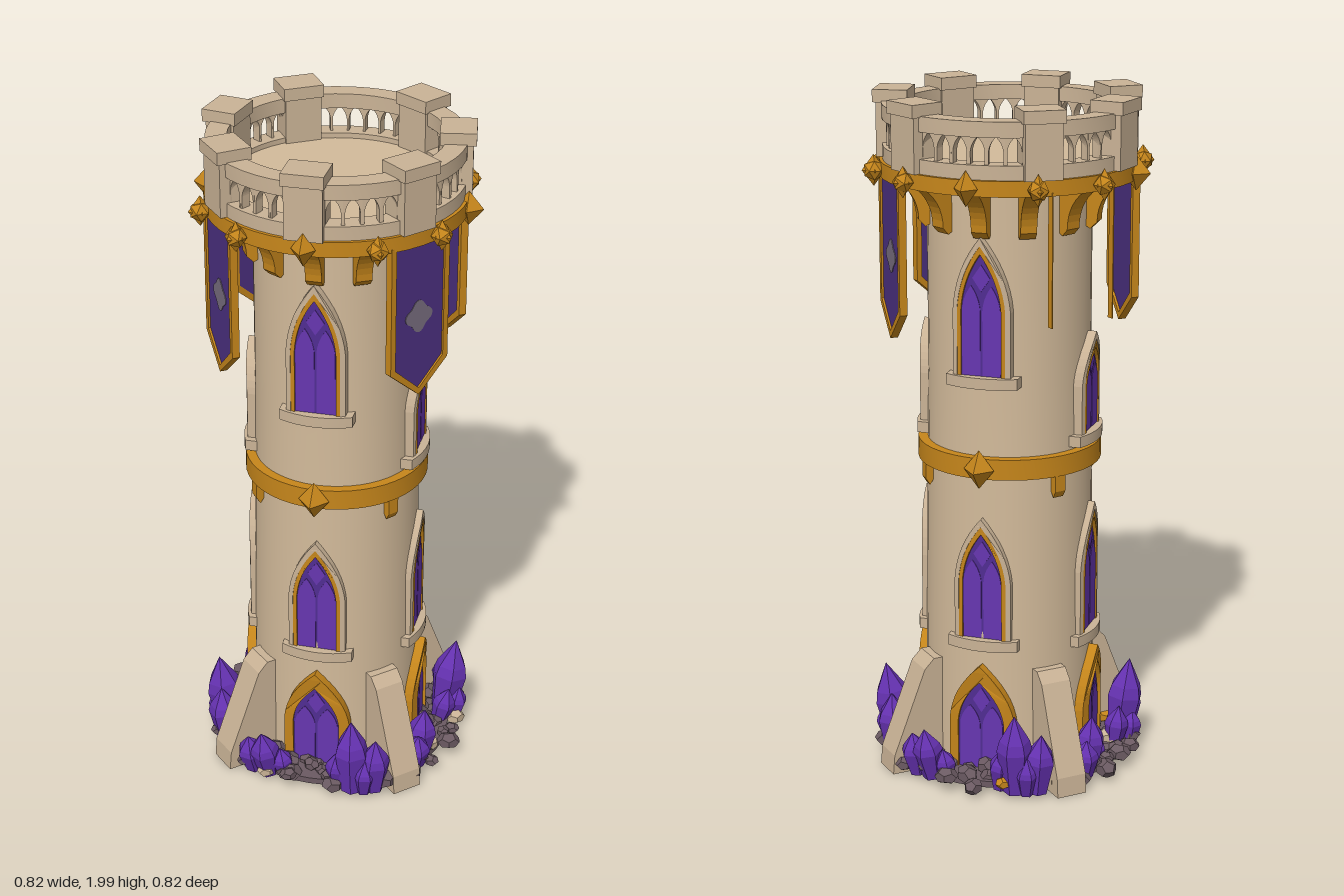
import * as THREE from 'three';
import { toCreasedNormals } from 'three/addons/utils/BufferGeometryUtils.js';

const mat = (name, color, side = THREE.FrontSide) => new THREE.MeshStandardMaterial({ name, color, side });
const V = (x, y) => new THREE.Vector2(x, y);

export function createModel() {
  const stone = mat('stone', 0xd2ba9a, THREE.DoubleSide);
  const trim = mat('stoneTrim', 0xcab396);
  const gold = mat('gold', 0xc6861b);
  const violet = mat('violetGlass', 0x6636b0);
  const deep = mat('deepViolet', 0x502d92);
  const crystalMat = mat('crystal', 0x6632b2);
  const cloth = mat('bannerCloth', 0x4b3080);
  const grey = mat('emblemGrey', 0x786d7e);
  const rockMat = mat('rock', 0x6b5a62);

  const tower = new THREE.Group();
  tower.name = 'tower';
  let seed = 7;
  const rnd = () => (seed = (seed * 16807) % 2147483647) / 2147483647;

  const add = (parent, name, geo, material, x = 0, y = 0, z = 0) => {
    const m = new THREE.Mesh(geo, material);
    m.name = name;
    m.position.set(x, y, z);
    parent.add(m);
    return m;
  };
  // Group turned so that its local +z points outward at the given angle
  const spoke = (name, deg) => {
    const g = new THREE.Group();
    g.name = name;
    g.rotation.y = THREE.MathUtils.degToRad(deg);
    tower.add(g);
    return g;
  };
  const lathe = (pts, n = 48) => toCreasedNormals(new THREE.LatheGeometry(pts.map(p => V(...p)), n), 0.6);
  const ring = (r0, r1, y0, y1) => lathe([[r0, y0], [r1, y0], [r1, y1], [r0, y1], [r0, y0]]);
  const extrude = (shape, depth) => new THREE.ExtrudeGeometry(shape, { depth, bevelEnabled: false, curveSegments: 8 });
  // Curve a flat part around the shaft
  const bend = geo => {
    const p = geo.attributes.position;
    for (let i = 0; i < p.count; i++) p.setZ(i, p.getZ(i) + Math.sqrt(0.0576 - p.getX(i) ** 2) - 0.24);
    geo.computeVertexNormals();
    return geo;
  };
  // Side profile (radius, height) given a width and set along local z
  const fin = (parent, name, shape, width, material) => {
    const m = add(parent, name, extrude(shape, width).translate(0, 0, -width / 2), material);
    m.rotation.y = -Math.PI / 2;
  };
  // Pointed arch outline
  const arch = (w, y0, ys, yt, T = THREE.Shape, cx = 0) => {
    const s = new T();
    const k = ys + (yt - ys) * 0.55;
    s.moveTo(cx - w, y0);
    s.lineTo(cx + w, y0);
    s.lineTo(cx + w, ys);
    s.quadraticCurveTo(cx + w * 0.9, k, cx, yt);
    s.quadraticCurveTo(cx - w * 0.9, k, cx - w, ys);
    s.closePath();
    return s;
  };
  const archFrame = (w, y0, ys, yt, t, depth) => {
    const s = arch(w, y0, ys, yt);
    s.holes.push(arch(w - t, y0 + 0.005, ys, yt - t * 1.7, THREE.Path));
    return bend(extrude(s, depth));
  };
  // Lancet glazing: dark plate, two lights and a diamond
  const glazing = (g, w, y0, ys, yt, z) => {
    add(g, 'windowBack', extrude(arch(w, y0, ys, yt), 0.009), deep, 0, 0, z);
    for (const s of [-1, 1])
      add(g, 'windowLight', extrude(arch(w * 0.43, y0 + 0.01, ys, ys + (yt - ys) * 0.42, THREE.Shape, s * w * 0.48), 0.004), violet, 0, 0, z + 0.007);
    const d = new THREE.Shape([V(0, -0.038), V(0.026, 0), V(0, 0.038), V(-0.026, 0)]);
    add(g, 'windowDiamond', extrude(d, 0.004), violet, 0, ys + (yt - ys) * 0.55, z + 0.007);
  };

  // Shaft and platform
  add(tower, 'shaft', lathe([[0.25, 0.015], [0.247, 0.4], [0.24, 0.9], [0.235, 1.2], [0.235, 1.77]]), stone);
  add(tower, 'platformFloor', new THREE.CylinderGeometry(0.31, 0.31, 0.02, 48), stone, 0, 1.825, 0);
  add(tower, 'upperGoldRing', ring(0.22, 0.368, 1.766, 1.81), gold);
  add(tower, 'middleGoldRing', ring(0.23, 0.266, 0.937, 0.997), gold);

  // Gold ornaments and brackets beneath the platform
  for (let i = 0; i < 12; i++) {
    const g = spoke('bracketUnit', i * 30);
    const b = new THREE.Shape();
    b.moveTo(0.22, 1.64);
    b.lineTo(0.245, 1.625);
    b.lineTo(0.265, 1.645);
    b.quadraticCurveTo(0.265, 1.73, 0.355, 1.775);
    b.lineTo(0.22, 1.775);
    fin(g, 'bracket', b, 0.046, gold);
    if (i % 3 === 0) add(g, 'ringDiamond', new THREE.OctahedronGeometry(1).scale(0.034, 0.05, 0.042), gold, 0, 1.787, 0.37);
    else {
      add(g, 'ringKnob', new THREE.IcosahedronGeometry(0.031), gold, 0, 1.787, 0.387);
      add(g, 'ringKnobPoint', new THREE.OctahedronGeometry(1).scale(0.028, 0.045, 0.034), gold, 0, 1.787, 0.387);
    }
  }
  for (const a of [0, 180])
    add(spoke('middleOrnament', a), 'middleDiamond', new THREE.OctahedronGeometry(1).scale(0.045, 0.057, 0.05), gold, 0, 0.967, 0.272);

  // Parapet: rails, arcade and merlons, with the widest bay at the back
  add(tower, 'lowerRail', ring(0.3, 0.358, 1.808, 1.85), trim);
  add(tower, 'upperRail', ring(0.3, 0.36, 1.925, 1.968), trim);
  const panel = new THREE.Shape([V(-0.0255, 1.84), V(0.0255, 1.84), V(0.0255, 1.93), V(-0.0255, 1.93)]);
  panel.holes.push(arch(0.02, 1.848, 1.885, 1.925, THREE.Path));
  const panelGeo = extrude(panel, 0.028);
  const merlonAngles = [0, 50, 100, 147, 213, 260, 310, 360];
  for (let i = 0; i < 7; i++) {
    const a = merlonAngles[i], gap = merlonAngles[i + 1] - a;
    const m = spoke('merlonUnit', a);
    add(m, 'merlon', new THREE.BoxGeometry(0.106, 0.165, 0.085), trim, 0, 1.892, 0.33);
    add(m, 'merlonCap', new THREE.BoxGeometry(0.118, 0.036, 0.1), trim, 0, 1.982, 0.331);
    const bays = Math.round((gap - 16) / 8.5);
    for (let j = 0; j < bays; j++)
      add(spoke('arcadeBay', a + 8 + (j + 0.5) * (gap - 16) / bays), 'arcadeArch', panelGeo, trim, 0, 0, 0.318);
  }

  // Windows and doors on the four faces
  const addWindow = (g, y0, ys, yt) => {
    add(g, 'windowFrame', archFrame(0.085, y0, ys, yt, 0.014, 0.045), trim, 0, 0, 0.216);
    add(g, 'windowGoldTrim', archFrame(0.073, y0, ys, yt - 0.023, 0.014, 0.039), gold, 0, 0, 0.22);
    glazing(g, 0.062, y0, ys, yt - 0.04, 0.237);
    add(g, 'windowSill', bend(new THREE.BoxGeometry(0.21, 0.032, 0.05, 8)), trim, 0, y0 - 0.008, 0.246);
  };
  for (let i = 0; i < 4; i++) {
    const g = spoke('towerFace', i * 90);
    const side = i % 2 === 1;
    if (side) addWindow(g, 1.03, 1.18, 1.325);
    else addWindow(g, 1.225, 1.42, 1.63);
    addWindow(g, side ? 0.42 : 0.44, 0.62, 0.815);
    const w = side ? 0.09 : 0.1;
    add(g, 'doorFrame', archFrame(w, 0.02, 0.19, 0.37, 0.03, 0.055), gold, 0, 0, 0.22);
    glazing(g, w - 0.028, 0.02, 0.18, 0.325, 0.248);
    add(g, 'doorInnerFace', extrude(arch(w - 0.028, 0.02, 0.18, 0.325), 0.009), violet, 0, 0, 0.215);
  }

  // Buttresses and the small gold hangers under the middle ring
  for (let i = 0; i < 4; i++) {
    const g = spoke('diagonal', 45 + i * 90);
    fin(g, 'buttress', new THREE.Shape([V(0.235, 0.012), V(0.405, 0.012), V(0.4, 0.07), V(0.3, 0.325), V(0.27, 0.355), V(0.235, 0.355)]), 0.092, trim);
    fin(spoke('hangerUnit', [52, 128, 232, 308][i]), 'hanger', new THREE.Shape([V(0.23, 0.9), V(0.25, 0.87), V(0.262, 0.89), V(0.262, 0.94), V(0.23, 0.94)]), 0.034, gold);
  }

  // Banners
  const bannerShape = (w, top, low, tip, T = THREE.Shape) => new T([V(-w, top), V(-w, low), V(0, tip), V(w, low), V(w, top)]);
  const foil = new THREE.Shape(Array.from({ length: 40 }, (_, i) => {
    const t = i / 40 * Math.PI * 2, r = 0.042 + 0.006 * Math.cos(4 * t);
    return V(r * Math.cos(t), r * Math.sin(t));
  }));
  const border = bannerShape(0.102, 1.775, 1.4, 1.312);
  border.holes.push(bannerShape(0.085, 1.768, 1.41, 1.333, THREE.Path));
  const field = bannerShape(0.092, 1.77, 1.405, 1.325);
  for (const a of [53, -53, 127]) {
    const g = spoke('banner', a);
    add(g, 'bannerBorder', extrude(border, 0.022), gold, 0, 0, 0.334);
    add(g, 'bannerCloth', extrude(field, 0.009), cloth, 0, 0, 0.341);
    add(g, 'bannerEmblem', extrude(foil, 0.004), grey, 0, 1.55, 0.348);
  }
  // Single sheet facing the shaft, with a rim down each side
  const sheet = spoke('backBanner', -127);
  add(sheet, 'bannerBorder', new THREE.ShapeGeometry(border).rotateY(Math.PI), gold, 0, 0, 0.343);
  add(sheet, 'bannerCloth', new THREE.ShapeGeometry(field).rotateY(Math.PI), cloth, 0, 0, 0.346);
  for (const s of [-1, 1])
    add(sheet, 'bannerRim', new THREE.BoxGeometry(0.003, 0.375, 0.02), gold, s * 0.102, 1.5875, 0.345);

  // Crystals: angle, radius, height, half width; repeated on the opposite side
  const crystals = [
    [21, 0.385, 0.24, 0.052], [31, 0.395, 0.18, 0.046], [14, 0.36, 0.13, 0.036], [26, 0.4, 0.12, 0.036],
    [110, 0.355, 0.26, 0.055], [119, 0.375, 0.18, 0.048], [101, 0.34, 0.13, 0.036], [106, 0.385, 0.11, 0.034],
    [-23, 0.365, 0.16, 0.044], [-31, 0.375, 0.13, 0.042], [-15, 0.35, 0.1, 0.032],
    [66, 0.34, 0.17, 0.044], [59, 0.36, 0.12, 0.04], [75, 0.32, 0.1, 0.032],
  ];
  for (const turn of [0, 180])
    for (const [a, r, h, w] of crystals) {
      const geo = new THREE.LatheGeometry([V(0, 0), V(w * 0.65, 0), V(w, h * 0.55), V(w * 0.85, h * 0.68), V(0.0005, h)], 6).toNonIndexed();
      geo.computeVertexNormals();
      const c = add(spoke('crystalSpot', a + turn), 'crystal', geo, crystalMat, 0, 0.025, r - 0.025);
      c.rotation.set(0.05 + rnd() * 0.15, rnd() * 2, (rnd() - 0.5) * 0.25);
    }

  // Rubble around the foot
  add(tower, 'rubbleBed', ring(0.245, 0.345, 0.026, 0.045), rockMat);
  for (let i = 0; i < 110; i++) {
    const s = 0.018 + rnd() * 0.015;
    const geo = new THREE.DodecahedronGeometry(s).scale(1.2, 0.85, 1);
    const paint = i % 9 === 4 ? trim : i % 17 === 8 ? gold : rockMat;
    const rock = add(spoke('rubbleSpot', i * 360 / 110 + rnd() * 3), 'rock', geo, paint, 0, 0.038 + rnd() * 0.025, 0.255 + (i % 4) * 0.035 + rnd() * 0.02);
    rock.rotation.y = rnd() * 3;
  }
  return tower;
}
